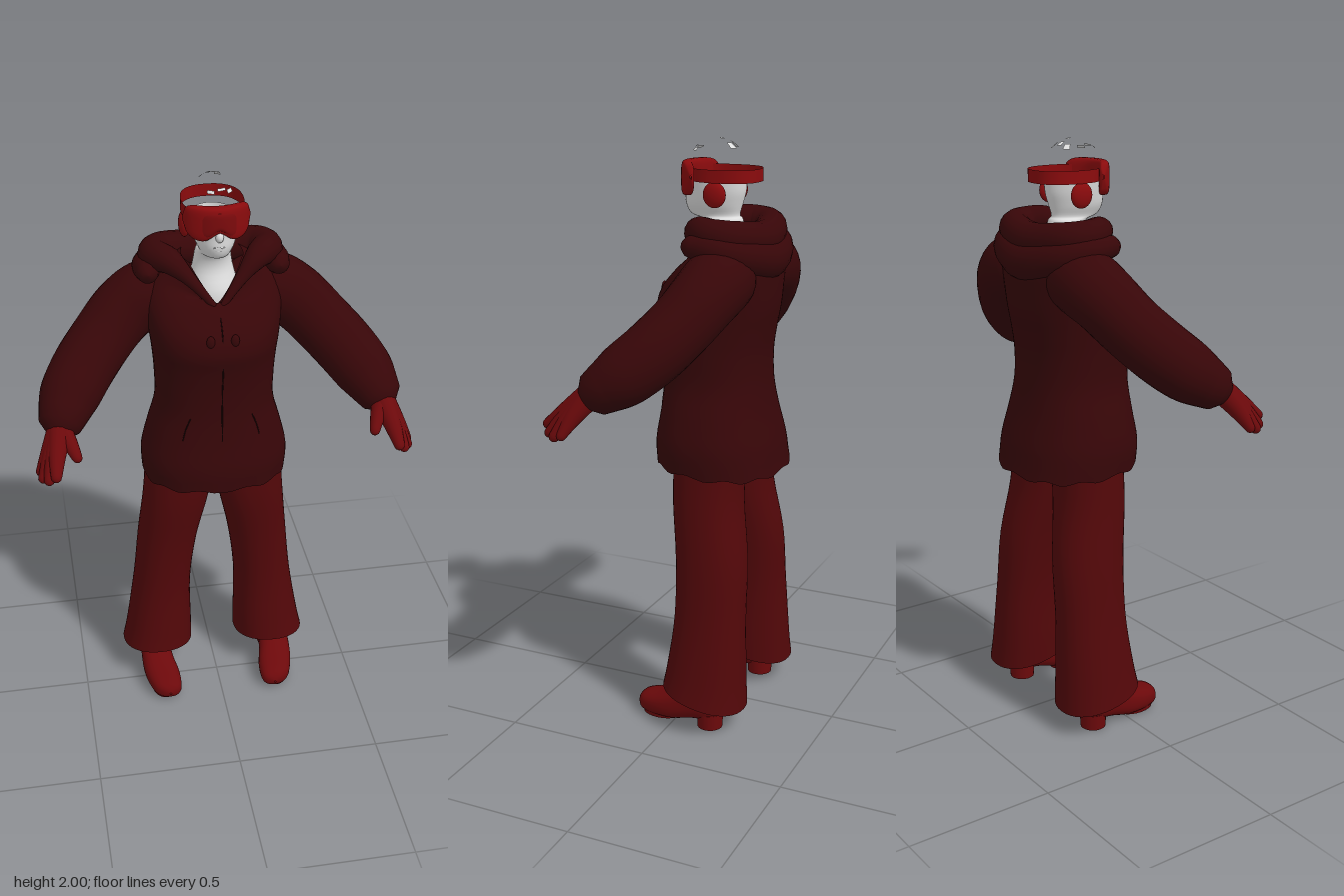
import * as THREE from 'three';

const V = (x, y, z) => new THREE.Vector3(x, y, z);
const material = (name, color, open) => {
  const m = new THREE.MeshStandardMaterial({ color });
  m.name = name;
  if (open) m.side = THREE.DoubleSide;
  return m;
};

// Catmull-Rom smoothing of a table of section rows
function smooth(rows, steps) {
  const out = [], at = i => rows[Math.min(rows.length - 1, Math.max(0, i))];
  for (let i = 0; i < rows.length - 1; i++) {
    for (let k = 0; k < steps; k++) {
      const t = k / steps;
      out.push(rows[i].map((b, c) => {
        const a = at(i - 1)[c], d = at(i + 1)[c], e = at(i + 2)[c];
        return b + 0.5 * t * (d - a + t * (2 * a - 5 * b + 4 * d - e + t * (3 * (b - d) + e - a)));
      }));
    }
  }
  out.push(rows[rows.length - 1]);
  return out;
}

// Skin over closed rings of points
function skin(rings) {
  const n = rings[0].length, index = [];
  for (let i = 0; i < rings.length - 1; i++) {
    for (let j = 0; j < n; j++) {
      const a = i * n + j, b = i * n + (j + 1) % n;
      index.push(a, a + n, b, b, a + n, b + n);
    }
  }
  const g = new THREE.BufferGeometry().setFromPoints(rings.flat());
  g.setIndex(index);
  g.computeVertexNormals();
  return g;
}

// Stacked superellipse sections: [y, cx, cz, rx, rz]
function loft(rows, { p = 2, n = 40, steps = 4, tweak } = {}) {
  const pw = v => Math.sign(v) * Math.abs(v) ** (2 / p);
  return skin(smooth(rows, steps).map(([y, cx, cz, rx, rz]) =>
    Array.from({ length: n }, (_, j) => {
      const a = j / n * Math.PI * 2;
      const v = V(cx + rx * pw(Math.cos(a)), y, cz + rz * pw(Math.sin(a)));
      if (tweak) tweak(v, a);
      return v;
    })));
}

// Round-ended limb through points [x, y, z, radius]
function limb(points, ref = V(0, 1, 0), n = 16) {
  const rows = smooth(points, 5), rings = [], last = rows.length - 1;
  rows.forEach((r, i) => {
    const c = V(...r), a = rows[Math.max(0, i - 1)], b = rows[Math.min(last, i + 1)];
    const t = V(...b).sub(V(...a)).normalize();
    const v = ref.clone().cross(t).normalize(), u = t.clone().cross(v);
    const ring = lift => rings.push(Array.from({ length: n }, (_, j) => {
      const s = j / n * Math.PI * 2, q = r[3] * Math.cos(lift);
      return c.clone().addScaledVector(t, r[3] * Math.sin(lift))
        .addScaledVector(u, Math.cos(s) * q).addScaledVector(v, Math.sin(s) * q);
    }));
    if (i === 0) [-1.56, -1.1, -0.55].forEach(ring);
    ring(0);
    if (i === last) [0.55, 1.1, 1.56].forEach(ring);
  });
  return skin(rings);
}

export function createModel() {
  const model = new THREE.Group();
  const jacket = material('dark maroon cloth', 0x370608, true);
  const cloth = material('maroon trouser cloth', 0x520709, true);
  const leather = material('red leather', 0x6c090b);
  const strapRed = material('bright red', 0x8a0b0d, true);
  const lensRed = material('lens red', 0x7c0a0c);
  const pale = material('pale skin', 0xdedede, true);
  const seam = material('seam black', 0x1c0405);

  const add = (name, geometry, mat, parent = model) => {
    const m = new THREE.Mesh(geometry, mat);
    m.name = name;
    parent.add(m);
    return m;
  };
  const ball = (name, mat, x, y, z, rx, ry, rz, parent) => {
    const m = add(name, new THREE.SphereGeometry(1, 20, 14), mat, parent);
    m.position.set(x, y, z);
    m.scale.set(rx, ry, rz);
  };

  // Jacket body with a V neck and an uneven hem
  const body = [
    [0.91, 0, -0.08, 0.25, 0.215], [1.0, 0, -0.07, 0.253, 0.207], [1.1, 0, -0.065, 0.23, 0.187],
    [1.2, 0, -0.062, 0.203, 0.175], [1.3, 0, -0.06, 0.202, 0.176], [1.38, 0, -0.06, 0.207, 0.187],
    [1.45, 0, -0.06, 0.215, 0.2], [1.52, 0, -0.075, 0.225, 0.19], [1.6, 0, -0.11, 0.23, 0.155],
    [1.66, 0, -0.12, 0.19, 0.13], [1.715, 0, -0.095, 0.1, 0.11]];
  add('jacketBody', loft(body, {
    p: 2.3, n: 64, tweak: (v, a) => {
      const front = Math.sin(a) > 0 ? Math.max(0, 1 - Math.abs(Math.cos(a)) * 1.2) : 0;
      v.y -= 0.135 * front * THREE.MathUtils.smoothstep(v.y, 1.58, 1.715);
      if (v.y < 0.95) v.y += (v.z + 0.08) * 0.06 + 0.006 * Math.sin(a * 11);
    }
  }), jacket);

  // Hood: rolled collar and the loose folds hanging behind
  const mirrored = half => [...half.slice(0, -1).map(([x, ...r]) => [-x, ...r]), ...half.slice().reverse()];
  add('hoodCollar', limb(mirrored([[0.014, 1.585, 0.04, 0.01], [0.085, 1.665, 0.0, 0.022],
    [0.145, 1.715, -0.045, 0.043], [0.185, 1.71, -0.11, 0.053], [0.15, 1.7, -0.18, 0.055],
    [0, 1.68, -0.21, 0.06]])), jacket);
  add('hoodFold', limb(mirrored([[0.215, 1.675, -0.06, 0.038], [0.205, 1.665, -0.14, 0.052],
    [0.14, 1.64, -0.2, 0.062], [0, 1.615, -0.225, 0.07]])), jacket);

  // Front surface of the body, for the seams
  const dense = smooth(body, 8);
  const frontZ = (x, y) => {
    const r = dense.reduce((a, b) => Math.abs(b[0] - y) < Math.abs(a[0] - y) ? b : a);
    return r[2] + r[4] * (1 - Math.abs(x / r[3]) ** 2.3) ** (1 / 2.3);
  };
  const onFront = list => limb(list.map(([x, y]) => [x, y, frontZ(x, y), 0.002]), V(1, 0, 0), 6);
  add('zip', onFront([[0, 1.56], [0, 1.5], [0, 1.4], [0, 1.3], [0, 1.2], [0, 1.12]]), seam);

  // Everything that comes in left and right copies
  const side = new THREE.Group();
  side.name = 'leftSide';
  add('pocketSeam', onFront([[0.105, 1.2], [0.12, 1.16], [0.13, 1.12]]), seam, side);
  ball('drawstringToggle', jacket, 0.04, 1.5, 0.125, 0.014, 0.022, 0.01, side);

  add('sleeve', limb([[0.15, 1.57, -0.14, 0.11], [0.22, 1.555, -0.138, 0.115], [0.29, 1.515, -0.122, 0.11],
    [0.36, 1.45, -0.085, 0.106], [0.435, 1.375, -0.025, 0.105], [0.493, 1.31, 0.045, 0.1],
    [0.522, 1.27, 0.1, 0.083]], V(0, 1, 0), 28), jacket, side);

  // Glove: fingers fan out of a shared palm
  const tips = [[0.565, 1.145, 0.28], [0.588, 1.124, 0.262], [0.605, 1.118, 0.237], [0.612, 1.125, 0.208]];
  tips.forEach(([x, y, z], i) => {
    const k = V(0.545, 1.235, 0.16).lerp(V(x, y, z), 0.5);
    add('gloveFinger', limb([[0.535, 1.25, 0.14, 0.042], [k.x, k.y, k.z, 0.029],
      [x, y, z, i === 3 ? 0.016 : 0.018]]), leather, side);
  });
  add('gloveThumb', limb([[0.535, 1.245, 0.15, 0.035], [0.51, 1.21, 0.195, 0.025],
    [0.493, 1.18, 0.232, 0.017]]), leather, side);

  // Flared trouser leg
  add('trouserLeg', loft([[0.115, 0.215, -0.105, 0.13, 0.147], [0.2, 0.206, -0.108, 0.121, 0.138],
    [0.4, 0.19, -0.113, 0.105, 0.124], [0.6, 0.167, -0.108, 0.107, 0.124],
    [0.8, 0.135, -0.082, 0.117, 0.12], [0.95, 0.12, -0.08, 0.12, 0.12]], {
    p: 2.2, tweak: v => { v.y += (v.z + 0.105) * 0.22 * (1 - THREE.MathUtils.smoothstep(v.y, 0.1, 0.4)); }
  }), cloth, side);

  // Shoe, lofted from heel to toe
  add('shoe', loft([[-0.175, 0.23, -0.085, 0.004, 0.004], [-0.165, 0.23, -0.085, 0.035, 0.045],
    [-0.13, 0.23, -0.09, 0.05, 0.062], [-0.07, 0.23, -0.09, 0.054, 0.068], [0, 0.226, -0.064, 0.059, 0.058],
    [0.06, 0.216, -0.049, 0.062, 0.046], [0.12, 0.206, -0.04, 0.052, 0.035],
    [0.145, 0.2, -0.036, 0.032, 0.023], [0.155, 0.2, -0.036, 0.003, 0.003]], { p: 2.5, n: 28 })
    .rotateX(Math.PI / 2), leather, side);
  add('ankle', limb([[0.228, 0.09, -0.09, 0.052], [0.22, 0.18, -0.1, 0.05], [0.21, 0.3, -0.11, 0.05]],
    V(1, 0, 0)), leather, side);
  const heel = add('shoeHeel', new THREE.CylinderGeometry(0.046, 0.044, 0.055, 20), leather, side);
  heel.position.set(0.23, 0.0275, -0.13);
  const sole = add('shoeSole', new THREE.CylinderGeometry(1, 0.95, 0.02, 24), leather, side);
  sole.position.set(0.212, 0.01, 0.062);
  sole.scale.set(0.05, 1, 0.075);

  // Ear muff and eye
  ball('earMuff', strapRed, 0.092, 1.825, -0.08, 0.018, 0.042, 0.04, side);
  ball('eye', pale, 0.033, 1.87, 0.01, 0.014, 0.014, 0.014, side);
  model.add(side);
  const other = side.clone();
  other.name = 'rightSide';
  other.scale.x = -1;
  model.add(other);

  // Neck and open-topped face
  add('faceAndNeck', loft([[1.5, 0, -0.085, 0.1, 0.085], [1.6, 0, -0.08, 0.085, 0.085],
    [1.68, 0, -0.085, 0.066, 0.062], [1.735, 0, -0.075, 0.057, 0.065], [1.752, 0, -0.045, 0.05, 0.085],
    [1.785, 0, -0.04, 0.064, 0.098], [1.825, 0, -0.045, 0.074, 0.104],
    [1.862, 0, -0.045, 0.08, 0.107]]), pale);
  ball('nose', pale, 0, 1.83, 0.056, 0.013, 0.018, 0.014);
  ball('upperLip', pale, 0, 1.795, 0.052, 0.022, 0.005, 0.008);
  ball('lowerLip', pale, 0, 1.784, 0.05, 0.018, 0.005, 0.008);
  ball('innerMouth', pale, 0, 1.79, -0.015, 0.045, 0.028, 0.05);

  // Scattered scalp pieces: [phi, phi length, theta, theta length]
  [[1.0, 0.4, 0.72, 0.1], [1.55, 0.5, 0.66, 0.08], [2.1, 0.35, 0.74, 0.12], [4.1, 0.4, 0.5, 0.25],
    [4.75, 0.35, 0.42, 0.2], [5.3, 0.35, 0.55, 0.2], [4, 1.2, 0.1, 0.14]].forEach(s => {
    const m = add('scalpPiece', new THREE.SphereGeometry(1, 6, 3, ...s), pale);
    m.position.set(0, 1.88, -0.05);
    m.scale.set(0.085, 0.12, 0.11);
  });

  // Wraparound goggles with a nose notch, lofted from side to side
  const visor = (w, inset, depth, forward) => {
    const rows = [];
    for (let i = -12; i <= 12; i++) {
      const s = i / 12, end = Math.sqrt(Math.max(0.01, 1 - Math.abs(s) ** 8));
      const top = 1.927 - inset, low = 1.812 + inset + 0.03 * Math.exp(-((s / 0.3) ** 2)) + 0.02 * s ** 4;
      rows.push([s * w, -(top + low) / 2, 0.046 + forward - 0.05 * s * s, (top - low) / 2 * end, depth * end]);
    }
    return loft(rows, { p: 4, n: 32, steps: 1 }).rotateZ(-Math.PI / 2);
  };
  add('goggleFrame', visor(0.108, 0, 0.022, 0), strapRed);
  add('goggleLens', visor(0.094, 0.012, 0.02, 0.006), lensRed);

  // Head strap
  add('goggleStrap', loft([[1.863, 0, -0.085, 0.1, 0.117], [1.905, 0, -0.085, 0.1, 0.117]],
    { p: 2.4, n: 48, steps: 1 }), strapRed);

  return model;
}
